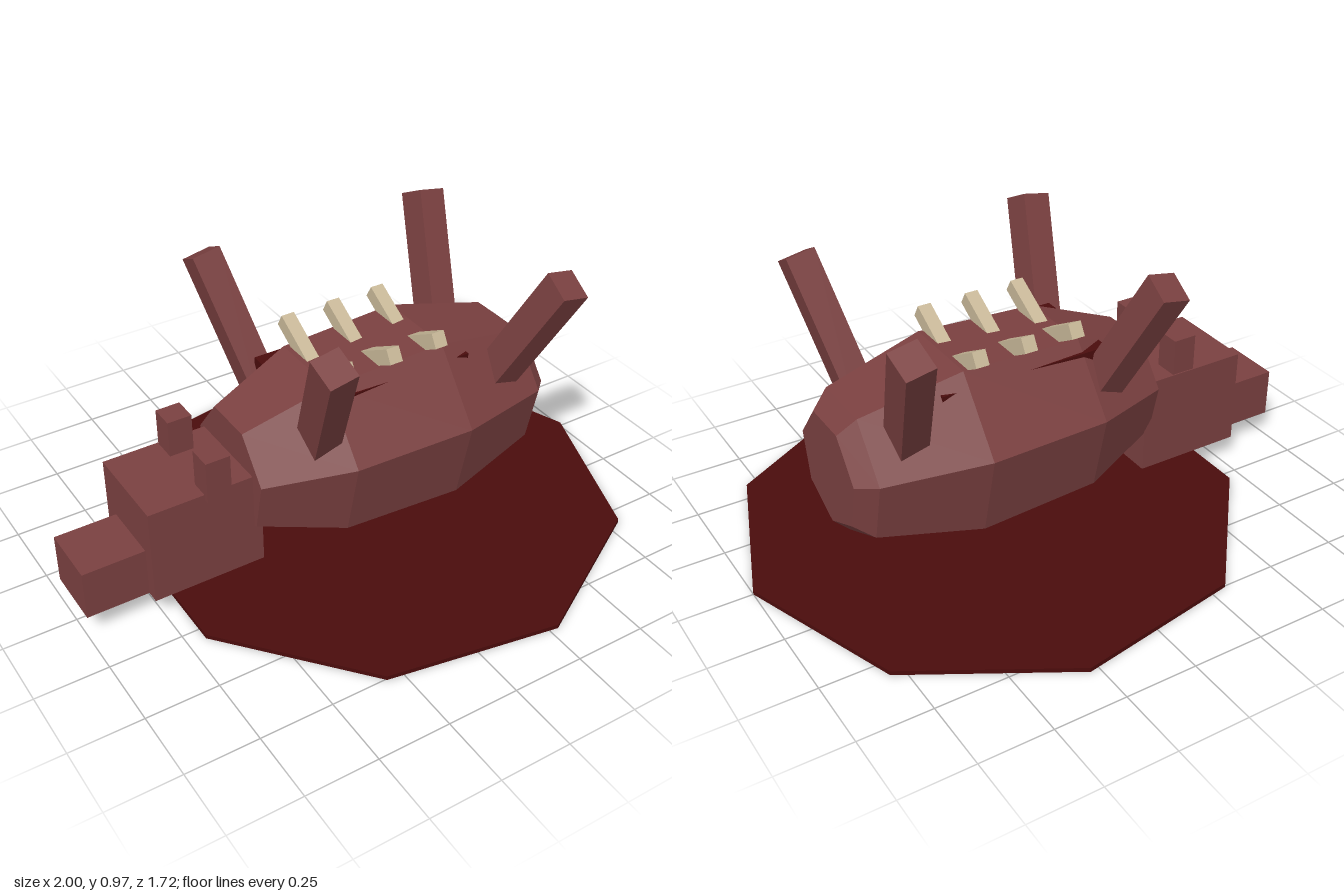
import * as THREE from 'three';

export function createModel() {
  const model = new THREE.Group();
  model.name = 'carcass';

  const mat = (name, color) => {
    const m = new THREE.MeshStandardMaterial({ color });
    m.name = name;
    return m;
  };
  const hide = mat('hide', 0x7a4040);
  const blood = mat('blood', 0x4a0c0c);
  const bone = mat('bone', 0xc8b898);

  const add = (name, geometry, material, x = 0, y = 0, z = 0) => {
    const mesh = new THREE.Mesh(geometry, material);
    mesh.name = name;
    mesh.position.set(x, y, z);
    model.add(mesh);
    return mesh;
  };
  const box = (w, h, d) => new THREE.BoxGeometry(w, h, d);

  // Nine-sided pool on the ground, one corner pointing to +x
  const pool = new THREE.CylinderGeometry(0.871, 0.871, 0.015, 9, 1, false, Math.PI / 2).toNonIndexed();
  pool.computeVertexNormals();
  add('pool', pool, blood, 0.129, 0.0075, 0);

  // Seven-sided barrel torso lying along x: [x, radius] at each ring
  const rings = [[-0.42, 0.21], [-0.13, 0.325], [0.3, 0.345], [0.65, 0.255], [0.71, 0.195]];
  let torso = new THREE.CylinderGeometry(1, 1, 4, 7, 4, false, Math.PI / 2);
  const p = torso.attributes.position;
  for (let i = 0; i < p.count; i++) {
    const [x, r] = rings[Math.round(p.getY(i)) + 2];
    p.setXYZ(i, p.getX(i) * r, x, p.getZ(i) * r);
  }
  torso.rotateZ(-Math.PI / 2);
  torso = torso.toNonIndexed();
  torso.computeVertexNormals();
  add('torso', torso, hide, 0, 0.375, 0);

  // Open wound, just breaking through the shoulders of the torso
  add('wound', box(0.61, 0.135, 0.356), blood, 0.085, 0.5675, 0);

  // Head and snout
  add('head', box(0.395, 0.345, 0.325), hide, -0.5875, 0.2625, -0.0125);
  add('snout', box(0.22, 0.175, 0.215), hide, -0.89, 0.1775, -0.003);

  for (const side of [1, -1]) {
    const label = side > 0 ? 'Front' : 'Back';
    add('ear' + label, box(0.085, 0.15, 0.085), hide, -0.5475, 0.49, side * 0.128);

    // Stiff legs splayed up and outwards; the origin is the outer end
    for (const [name, x, z, tilt] of [['foreLeg', -0.277, 0.41, 0.185], ['hindLeg', 0.597, 0.397, -0.185]]) {
      const leg = add(name + label, box(0.1, 0.56, 0.11).translate(0, -0.28, 0), hide, x, 0.935, side * z);
      leg.rotation.set(side * 0.48, 0, tilt, 'ZXY');
    }

    // Broken ribs leaning outwards from the back
    for (let i = 0; i < 3; i++) {
      const rib = add('rib' + label + (i + 1), box(0.047, 0.052, 0.24).translate(0, 0, -side * 0.12),
        bone, -0.09 + i * 0.175, 0.738, side * 0.19);
      rib.rotation.x = -side * Math.PI / 6;
    }
  }
  return model;
}
